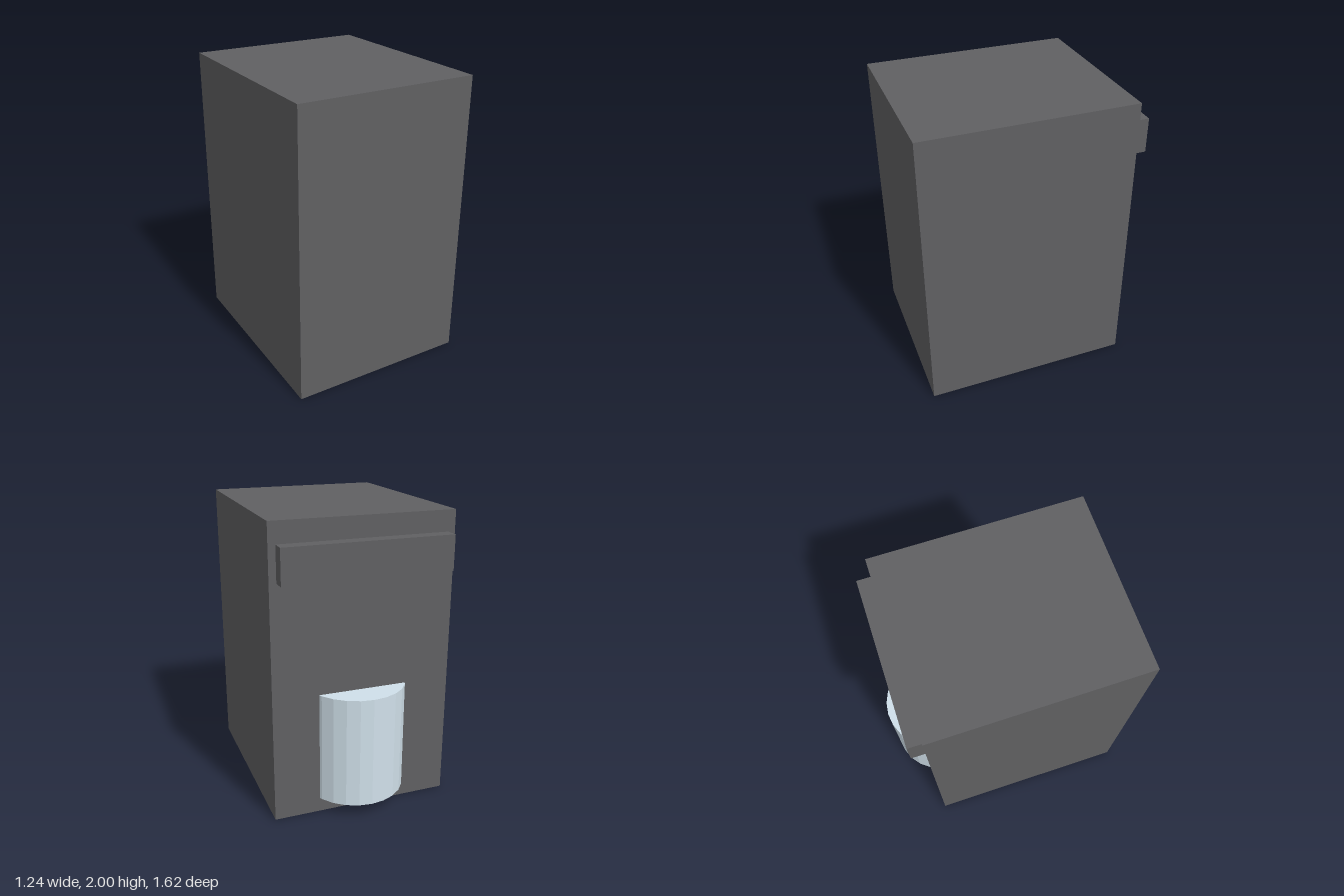
import * as THREE from 'three';

export function createModel() {
  const group = new THREE.Group();
  const dark = new THREE.MeshStandardMaterial({ color: 0x606062, flatShading: true });
  const paleBlue = new THREE.MeshStandardMaterial({ color: 0xd0e0ea, flatShading: true });

  const add = (name, geometry, material, x, y, z) => {
    const mesh = new THREE.Mesh(geometry, material);
    mesh.name = name;
    mesh.position.set(x, y, z);
    group.add(mesh);
  };

  // Main cabinet
  add('body', new THREE.BoxGeometry(1.236, 2, 1.43), dark, 0, 1, 0.095);

  // Horizontal bar across the top of the back
  add('backBar', new THREE.BoxGeometry(1.14, 0.235, 0.2), dark, 0, 1.742, -0.615);

  // Upright 24-sided canister, half sunk into the back
  add('canister', new THREE.CylinderGeometry(0.34, 0.34, 0.76, 24), paleBlue, 0, 0.48, -0.47);

  return group;
}
